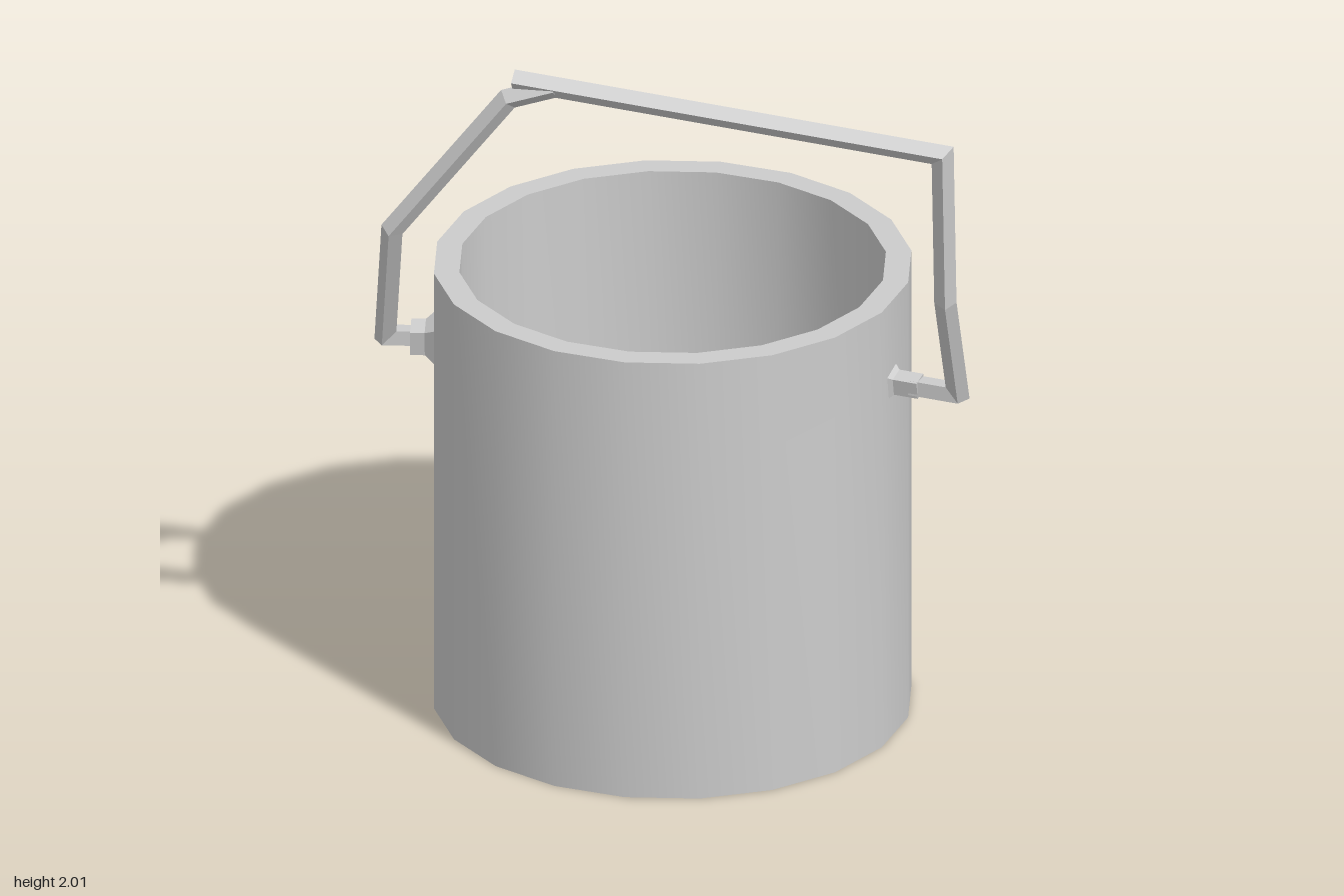
import * as THREE from 'three';
import { toCreasedNormals } from 'three/addons/utils/BufferGeometryUtils.js';

const V = (x, y, z) => new THREE.Vector3(x, y, z);
const CENTRE_X = -0.03;

// Square bar swept along a polyline with mitred corners
function barGeometry(path, size) {
  const dirs = path.slice(1).map((p, i) => p.clone().sub(path[i]).normalize());
  const v = V(0, 1, 0).addScaledVector(dirs[0], -dirs[0].y).normalize();
  const u = v.clone().cross(dirs[0]);
  const h = size / 2;
  let ring = [[1, 1], [-1, 1], [-1, -1], [1, -1]].map(([a, b]) =>
    path[0].clone().addScaledVector(u, a * h).addScaledVector(v, b * h));
  const pos = [];
  const quad = (a, b, c, d) => [a, b, c, a, c, d].forEach(p => pos.push(p.x, p.y, p.z));
  quad(ring[0], ring[3], ring[2], ring[1]);
  dirs.forEach((d, i) => {
    const end = path[i + 1];
    const plane = d.clone().add(dirs[i + 1] || d).normalize();
    const next = ring.map(p =>
      p.clone().addScaledVector(d, end.clone().sub(p).dot(plane) / d.dot(plane)));
    for (let k = 0; k < 4; k++) {
      const j = (k + 1) % 4;
      quad(ring[k], ring[j], next[j], next[k]);
    }
    ring = next;
  });
  quad(...ring);
  const g = new THREE.BufferGeometry();
  g.setAttribute('position', new THREE.Float32BufferAttribute(pos, 3));
  g.computeVertexNormals();
  return g;
}

// Four-sided block along y, from half-width a at y0 to half-width b at y1
function blockGeometry(a, b, y0, y1) {
  const r = Math.SQRT2;
  const g = new THREE.CylinderGeometry(b * r, a * r, y1 - y0, 4, 1, false, Math.PI / 4);
  g.translate(0, (y0 + y1) / 2, 0);
  return toCreasedNormals(g, 0.5);
}

export function createModel() {
  const model = new THREE.Group();
  model.name = 'bucket';
  const metal = new THREE.MeshStandardMaterial({ color: 0xcccccc });
  metal.name = 'grey metal';
  const add = (parent, name, geometry) => {
    const mesh = new THREE.Mesh(geometry, metal);
    mesh.name = name;
    parent.add(mesh);
    return mesh;
  };

  // Pail: outer wall, flat rim, inner wall and floor
  const profile = [[0, 0], [0.655, 0], [0.655, 1.31], [0.585, 1.31], [0.585, 0.07], [0, 0.07]]
    .map(([x, y]) => new THREE.Vector2(x, y));
  const pail = add(model, 'pail', toCreasedNormals(new THREE.LatheGeometry(profile, 20), 0.5));
  pail.position.x = CENTRE_X;

  // Handle lugs: flared plate and block pointing out from the wall
  const lugs = [
    { name: 'leftLug', dir: V(1, 0, 0.19), base: 0.048, neck: 0.025, plate: 0.66, end: 0.73 },
    { name: 'rightLug', dir: V(-1, 0, 0.145), base: 0.065, neck: 0.036, plate: 0.675, end: 0.715 },
  ];
  for (const l of lugs) {
    const lug = new THREE.Group();
    lug.name = l.name;
    lug.position.set(CENTRE_X, 1.066, 0);
    lug.quaternion.setFromUnitVectors(V(0, 1, 0), l.dir.normalize());
    add(lug, 'lugPlate', blockGeometry(l.base, l.neck, 0.63, l.plate));
    add(lug, 'lugBlock', blockGeometry(l.neck, l.neck, l.plate - 0.01, l.end));
    model.add(lug);
  }

  // Bent handle: the left arm carries the grip, the right arm tucks under its end
  add(model, 'leftArmAndGrip', barGeometry([
    V(0.66, 1.066, 0.132), V(0.795, 1.066, 0.158), V(0.797, 1.42, 0.335),
    V(0.8, 1.888, 0.387), V(-0.405, 1.976, 0.33)], 0.043));
  add(model, 'rightArm', barGeometry([
    V(-0.7, 1.067, 0.09), V(-0.807, 1.067, 0.108), V(-0.743, 1.495, 0.333),
    V(-0.42, 1.92, 0.335), V(-0.29, 1.966, 0.335)], 0.043));

  return model;
}
